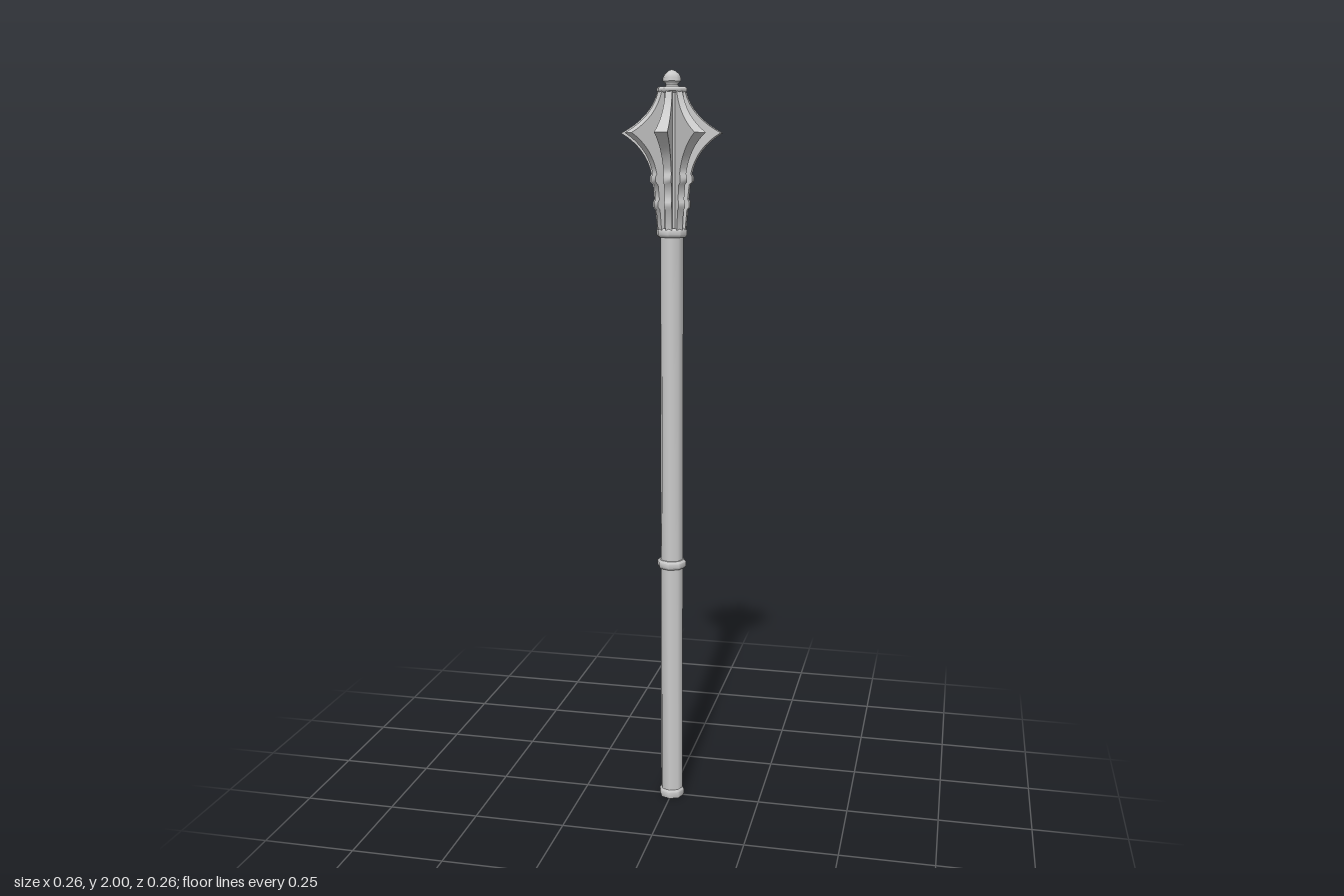
import * as THREE from 'three';
import { toCreasedNormals } from 'three/addons/utils/BufferGeometryUtils.js';

const material = new THREE.MeshStandardMaterial({ color: 0xcccccc });

function add(parent, name, geometry) {
  const mesh = new THREE.Mesh(toCreasedNormals(geometry, 0.9), material);
  mesh.name = name;
  parent.add(mesh);
  return mesh;
}

// Eight-sided turned part from [radius, height] pairs, bottom to top
function turned(parent, name, profile) {
  const points = profile.map(([r, y]) => new THREE.Vector2(r, y));
  return add(parent, name, new THREE.LatheGeometry(points, 8));
}

// Ring with bevelled edges
function collar(parent, name, y0, y1, r) {
  const b = (y1 - y0) * 0.25;
  return turned(parent, name, [[0, y0], [r - 0.005, y0], [r, y0 + b], [r, y1 - b], [r - 0.005, y1], [0, y1]]);
}

// Flange blade: side outline extruded, then widened with distance from the axis
function flangeGeometry() {
  const s = new THREE.Shape();
  s.moveTo(0.015, 1.595);
  s.lineTo(0.037, 1.595);
  s.lineTo(0.042, 1.648);
  s.lineTo(0.048, 1.655); // lower knot
  s.lineTo(0.048, 1.668);
  s.lineTo(0.044, 1.675);
  s.lineTo(0.048, 1.712);
  s.lineTo(0.056, 1.719); // upper knot
  s.lineTo(0.056, 1.732);
  s.lineTo(0.052, 1.739);
  s.quadraticCurveTo(0.066, 1.805, 0.131, 1.842);
  s.quadraticCurveTo(0.052, 1.882, 0.036, 1.946);
  s.lineTo(0.015, 1.946);
  const g = new THREE.ExtrudeGeometry(s, { depth: 2, bevelEnabled: false, curveSegments: 8 });
  g.translate(0, 0, -1);
  const p = g.attributes.position;
  for (let i = 0; i < p.count; i++) {
    p.setZ(i, p.getZ(i) * (0.0055 + 0.088 * p.getX(i)));
  }
  g.computeVertexNormals();
  return g;
}

export function createModel() {
  const model = new THREE.Group();
  model.name = 'flangedMace';

  // Shaft, running up inside the head
  turned(model, 'shaft', [[0, 0.005], [0.031, 0.005], [0.031, 1.946], [0, 1.946]]);
  turned(model, 'buttCap', [[0, 0], [0.034, 0], [0.035, 0.004], [0.035, 0.018], [0.031, 0.024], [0, 0.024]]);
  collar(model, 'gripCollar', 0.677, 0.701, 0.04);
  collar(model, 'headCollar', 1.577, 1.601, 0.041);

  // Eight flanges around the head
  const head = new THREE.Group();
  head.name = 'flanges';
  model.add(head);
  const blade = flangeGeometry();
  for (let i = 0; i < 8; i++) {
    add(head, 'flange', blade).rotation.y = (i * Math.PI) / 4;
  }

  // Cap and acorn finial
  collar(model, 'topCollar', 1.942, 1.957, 0.04);
  turned(model, 'finial', [
    [0.022, 1.955], [0.016, 1.961], [0.017, 1.966], [0.024, 1.971],
    [0.024, 1.979], [0.019, 1.989], [0.009, 1.997], [0, 2],
  ]);
  return model;
}
